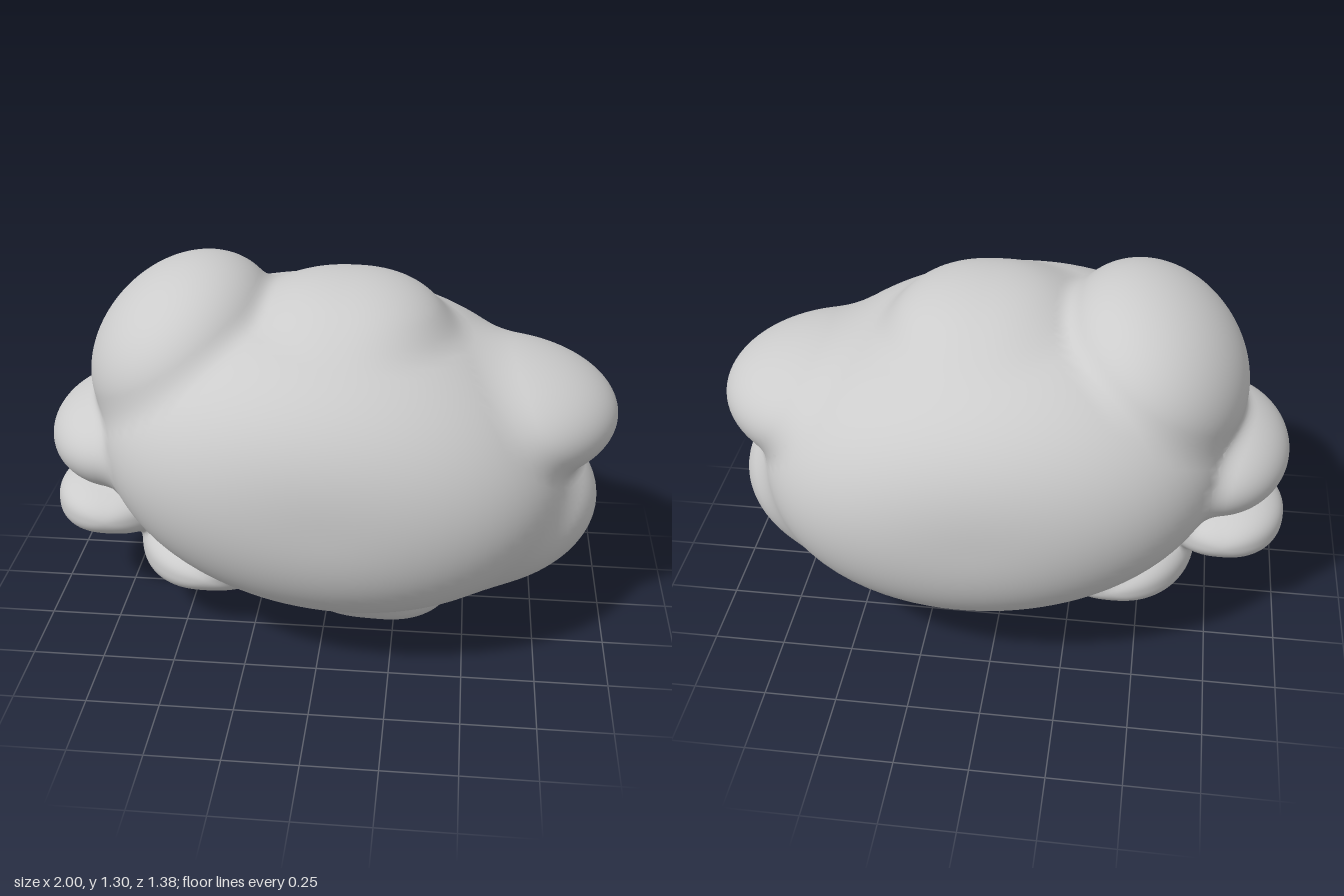
import * as THREE from 'three';

// Puffs of the cloud: centre, radii, tilt about z, squareness n in x-y and m in depth (2 = ellipsoid)
const PUFFS = [
  { name: 'body', at: [0.03, 0.66], r: [0.82, 0.52, 0.69], m: 2.5, tilt: -0.13 },
  { name: 'lowerLeftPuff', at: [0.4, 0.47], r: [0.555, 0.33, 0.46] },
  { name: 'upperLeftPuff', at: [0.55, 0.8], r: [0.45, 0.23, 0.41] },
  { name: 'topMiddlePuff', at: [0.06, 1.0], r: [0.37, 0.262, 0.42], n: 2.3 },
  { name: 'topRightPuff', at: [-0.5, 0.99], r: [0.355, 0.285, 0.44], tilt: 0.7 },
  { name: 'upperRightPuff', at: [-0.72, 0.67], r: [0.27, 0.18, 0.35] },
  { name: 'lowerRightPuff', at: [-0.78, 0.39], r: [0.22, 0.115, 0.25], n: 2.5 },
  { name: 'bottomRightPuff', at: [-0.41, 0.24], r: [0.285, 0.13, 0.36], n: 2.6 },
  { name: 'bottomLeftPuff', at: [0.175, 0.2], r: [0.315, 0.195, 0.37], n: 3, tilt: -0.04 },
];
const BLEND = 0.05;

// Size ratio of a point in a puff's own frame: 1 on its surface
function ratio({ r, n = 2, m = 2 }, x, y, z) {
  const flat = (Math.abs(x / r[0]) ** n + Math.abs(y / r[1]) ** n) ** (1 / n);
  return (flat ** m + Math.abs(z / r[2]) ** m) ** (1 / m);
}

// Radial distance from a point to a puff's surface, negative inside
function puffDistance(puff, x, y, z) {
  const { at, tilt = 0 } = puff;
  const c = Math.cos(tilt), s = Math.sin(tilt);
  const dx = x - at[0], dy = y - at[1];
  const g = Math.max(ratio(puff, c * dx + s * dy, c * dy - s * dx, z), 1e-4);
  return Math.hypot(dx, dy, z) * (1 - 1 / g);
}

// All puffs joined with soft fillets
function field(x, y, z) {
  let d = Infinity;
  for (const puff of PUFFS) {
    const e = puffDistance(puff, x, y, z);
    const h = Math.max(BLEND - Math.abs(d - e), 0);
    d = Math.min(d, e) - (h * h) / (4 * BLEND);
  }
  return d;
}

function gradient({ x, y, z }, e = 0.002) {
  return new THREE.Vector3(
    field(x + e, y, z) - field(x - e, y, z),
    field(x, y + e, z) - field(x, y - e, z),
    field(x, y, z + e) - field(x, y, z - e),
  ).divideScalar(2 * e);
}

// One puff, its rim eased onto the fillets where it meets its neighbours
function puffGeometry(puff) {
  const geometry = new THREE.SphereGeometry(1, 96, 60);
  const { position, normal } = geometry.attributes;
  const axis = new THREE.Vector3(0, 0, 1);
  const p = new THREE.Vector3();
  for (let i = 0; i < position.count; i++) {
    p.fromBufferAttribute(position, i);
    p.set(p.x * puff.r[0], p.y * puff.r[1], p.z * puff.r[2]);
    p.divideScalar(ratio(puff, p.x, p.y, p.z)).applyAxisAngle(axis, puff.tilt ?? 0);
    p.x += puff.at[0];
    p.y += puff.at[1];
    if (field(p.x, p.y, p.z) > -0.45 * BLEND) {
      for (let step = 0; step < 4; step++) {
        const g = gradient(p);
        p.addScaledVector(g, -field(p.x, p.y, p.z) / Math.max(g.lengthSq(), 0.25));
      }
    }
    const out = gradient(p).normalize();
    position.setXYZ(i, p.x, p.y, p.z);
    normal.setXYZ(i, out.x, out.y, out.z);
  }
  return geometry;
}

export function createModel() {
  const group = new THREE.Group();
  group.name = 'cloud';
  const grey = new THREE.MeshStandardMaterial({ color: 0xcccccc });
  grey.name = 'cloud grey';
  for (const puff of PUFFS) {
    const mesh = new THREE.Mesh(puffGeometry(puff), grey);
    mesh.name = puff.name;
    group.add(mesh);
  }
  return group;
}
